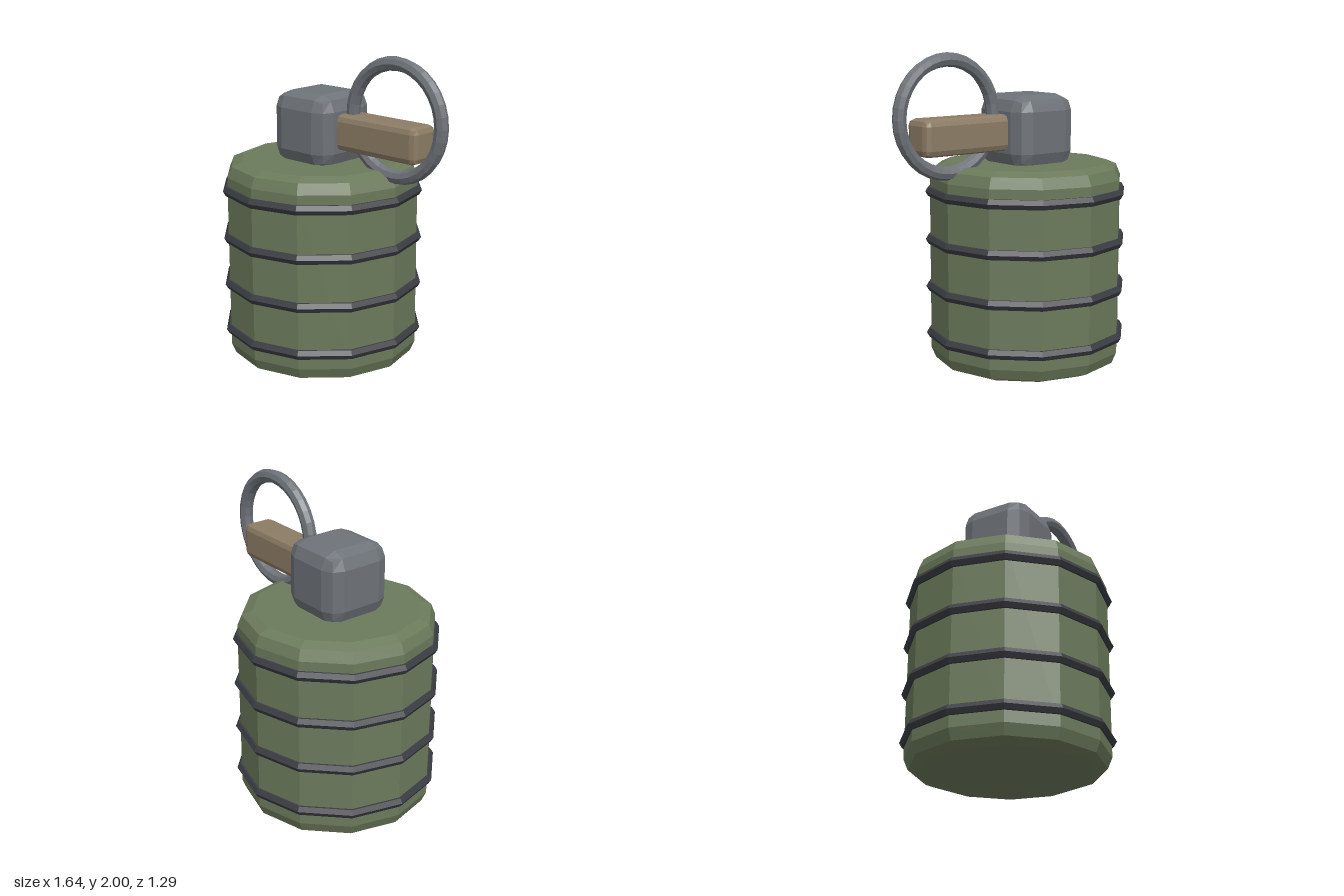
import * as THREE from 'three';
import { RoundedBoxGeometry } from 'three/addons/geometries/RoundedBoxGeometry.js';

const SIDES = 12;
const BODY_X = -0.18;

function part(name, geometry, color, x, y, z = 0) {
  const mesh = new THREE.Mesh(geometry, new THREE.MeshStandardMaterial({ color, flatShading: true }));
  mesh.name = name;
  mesh.position.set(x, y, z);
  return mesh;
}

export function createModel() {
  const model = new THREE.Group();
  model.name = 'ringPullCanister';

  // Twelve-sided body with two-step rounded rims
  const R = 0.615, H = 1.3, r = 0.095, k = r * (1 - Math.SQRT1_2);
  const profile = [
    [0, 0], [R - r, 0], [R - k, k], [R, r],
    [R, H - r], [R - k, H - k], [R - r, H], [0, H],
  ].map(([x, y]) => new THREE.Vector2(x, y));
  model.add(part('body', new THREE.LatheGeometry(profile, SIDES), 0x6b7a5b, BODY_X, 0));

  // Four bands around the body
  const bands = new THREE.Group();
  bands.name = 'bands';
  const bandGeometry = new THREE.TorusGeometry(0.611, 0.034, 6, SIDES).rotateX(Math.PI / 2);
  for (let i = 0; i < 4; i++) {
    bands.add(part('band' + (i + 1), bandGeometry, 0x3a3d43, BODY_X, 0.195 + i * 0.307));
  }
  model.add(bands);

  // Chamfered cap block, sunk slightly into the body
  model.add(part('cap', new RoundedBoxGeometry(0.46, 0.46, 0.46, 1, 0.1), 0x6e7379, BODY_X, 1.5));

  // Lever running sideways out of the cap
  model.add(part('lever', new RoundedBoxGeometry(0.66, 0.226, 0.21, 1, 0.04), 0x8c7c65, 0.33, 1.5));

  // Upright pull ring
  model.add(part('pullRing', new THREE.TorusGeometry(0.343, 0.043, 8, 32), 0x6e7379, 0.433, 1.615));

  return model;
}
